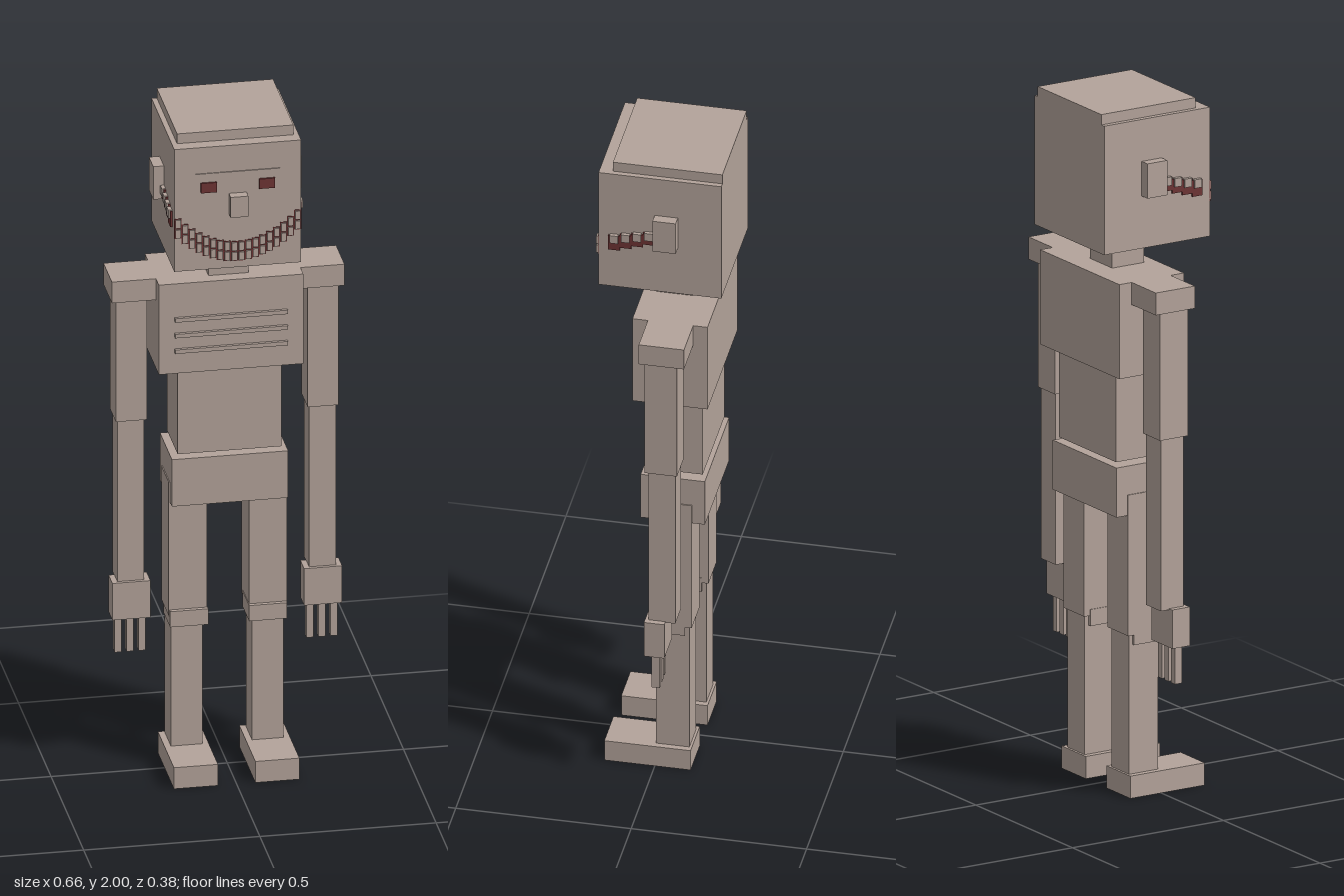
import * as THREE from 'three';

const skin = new THREE.MeshStandardMaterial({ color: 0xb3a39a });
skin.name = 'skin';
const red = new THREE.MeshStandardMaterial({ color: 0x6e3434 });
red.name = 'darkRed';

// Box given by its limits on each axis
function box(parent, name, [x0, x1], [y0, y1], [z0, z1], material = skin) {
  const mesh = new THREE.Mesh(new THREE.BoxGeometry(x1 - x0, y1 - y0, z1 - z0), material);
  mesh.position.set((x0 + x1) / 2, (y0 + y1) / 2, (z0 + z1) / 2);
  mesh.name = name;
  parent.add(mesh);
}

// The same box on both sides of the body
function pair(parent, name, [x0, x1], y, z, material) {
  box(parent, name + 'Left', [x0, x1], y, z, material);
  box(parent, name + 'Right', [-x1, -x0], y, z, material);
}

function addHead(group) {
  box(group, 'skull', [-0.18, 0.18], [1.595, 1.97], [-0.19, 0.16]);
  box(group, 'skullCap', [-0.165, 0.165], [1.97, 2], [-0.19, 0.122]);
  box(group, 'nose', [-0.025, 0.025], [1.76, 1.823], [0.16, 0.188]);
  box(group, 'brow', [-0.12, 0.12], [1.882, 1.89], [0.16, 0.163]);
  pair(group, 'eye', [0.06, 0.105], [1.832, 1.862], [0.16, 0.166], red);
  pair(group, 'ear', [0.18, 0.21], [1.747, 1.848], [-0.066, 0]);
}

// Wide grin: stepped gum plates with two rows of teeth, wrapping onto the cheeks
function addMouth(group) {
  const count = 18, pitch = 0.02;
  for (let i = 0; i < count; i++) {
    const x = (i - (count - 1) / 2) * pitch;
    const y = 1.645 + 0.082 * (x / 0.17) ** 2;
    box(group, 'gum', [x - 0.01, x + 0.01], [y - 0.03, y + 0.03], [0.158, 0.162], red);
    for (const [low, high] of [[-0.027, -0.002], [0.003, 0.028]]) {
      box(group, 'tooth', [x - 0.0075, x + 0.0075], [y + low, y + high], [0.16, 0.167]);
    }
  }
  for (let i = 0; i < 4; i++) {
    const z = 0.115 - i * 0.033;
    const y = 1.745 + i * 0.007;
    pair(group, 'cheekGum', [0.178, 0.186], [y - 0.025 + i * 0.003, y + 0.022], [z - 0.0165, z + 0.0165], red);
    pair(group, 'cheekTooth', [0.18, 0.191], [y, y + 0.025], [z - 0.012, z + 0.012]);
  }
}

function addTorso(group) {
  box(group, 'neck', [-0.057, 0.057], [1.51, 1.595], [-0.085, 0.02]);
  box(group, 'chest', [-0.205, 0.205], [1.235, 1.51], [-0.156, 0.058]);
  for (const y of [1.305, 1.353, 1.401]) {
    box(group, 'rib', [-0.16, 0.16], [y - 0.006, y + 0.006], [0.058, 0.067]);
  }
  box(group, 'abdomen', [-0.147, 0.147], [0.975, 1.235], [-0.13, 0.033]);
  box(group, 'pelvis', [-0.165, 0.165], [0.82, 0.964], [-0.14, 0.043]);
}

function addArms(group) {
  pair(group, 'shoulder', [0.2, 0.33], [1.445, 1.51], [-0.115, 0.014]);
  pair(group, 'upperArm', [0.228, 0.316], [1.073, 1.445], [-0.092, 0]);
  pair(group, 'forearm', [0.234, 0.31], [0.575, 1.073], [-0.086, -0.01]);
  pair(group, 'hand', [0.218, 0.326], [0.465, 0.578], [-0.058, 0]);
  for (const x of [0.238, 0.272, 0.306]) {
    pair(group, 'finger', [x - 0.01, x + 0.01], [0.357, 0.465], [-0.043, -0.019]);
  }
}

function addLegs(group) {
  pair(group, 'thigh', [0.06, 0.168], [0.47, 0.88], [-0.103, 0.01]);
  pair(group, 'knee', [0.058, 0.166], [0.44, 0.488], [-0.083, 0.022]);
  pair(group, 'shin', [0.07, 0.16], [0.065, 0.47], [-0.095, 0]);
  pair(group, 'foot', [0.053, 0.178], [0, 0.065], [-0.102, 0.144]);
}

export function createModel() {
  const model = new THREE.Group();
  model.name = 'blockFigure';
  const parts = { head: addHead, mouth: addMouth, torso: addTorso, arms: addArms, legs: addLegs };
  for (const [name, build] of Object.entries(parts)) {
    const group = new THREE.Group();
    group.name = name;
    build(group);
    model.add(group);
  }
  return model;
}
